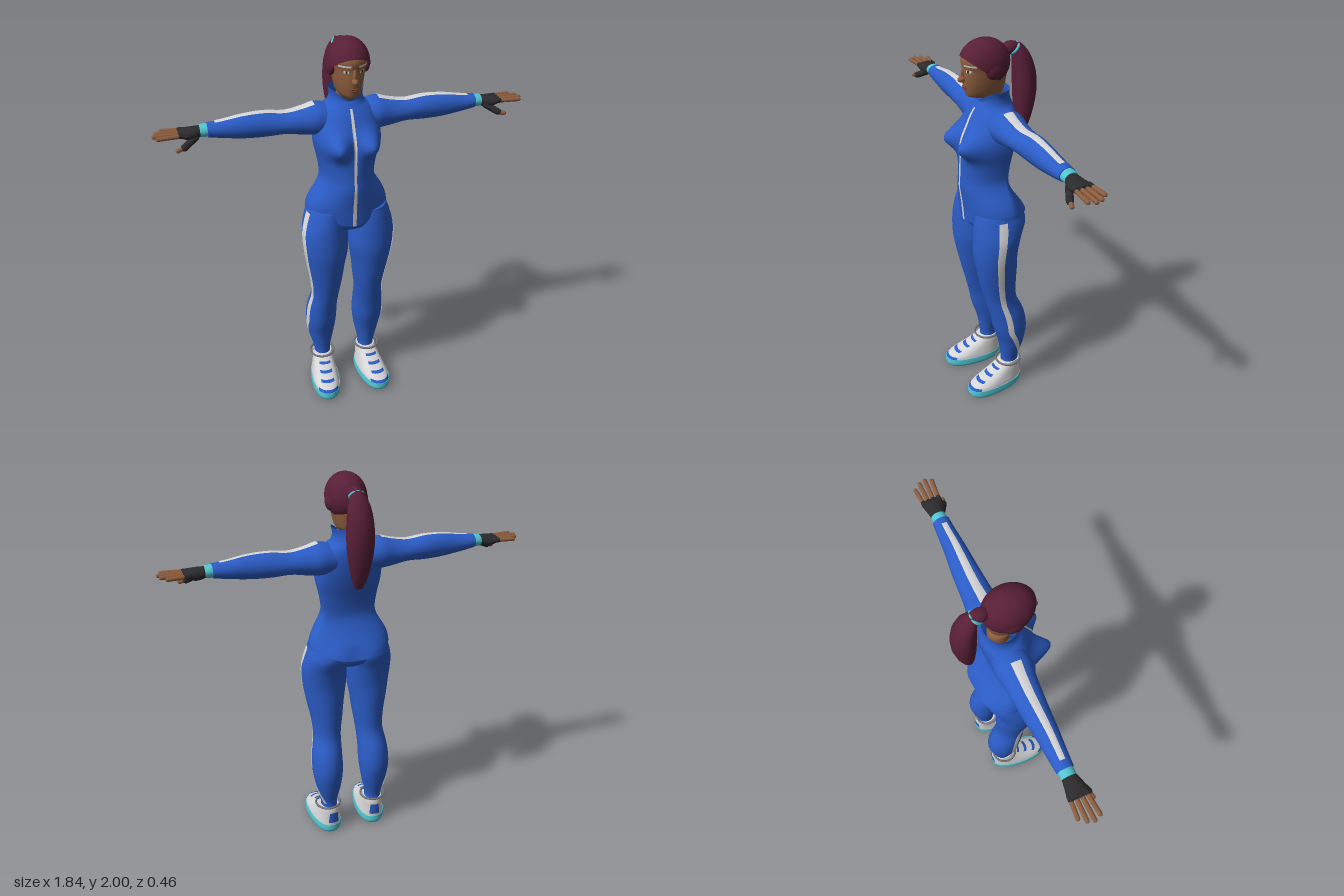
import * as THREE from 'three';

const mat = (name, color, side = THREE.FrontSide) => {
  const m = new THREE.MeshStandardMaterial({ color, side });
  m.name = name;
  return m;
};

// Surface through elliptical sections [y, cx, cz, rx, front depth, back depth]; angle 0 faces +z, PI/2 faces +x
function surface(rows, { power = 1, rule } = {}) {
  const last = rows.length - 1;
  const curve = (v, k) => {
    const i = Math.min(Math.floor(v * last), last - 1), t = v * last - i;
    const p = (n) => rows[Math.max(0, Math.min(last, n))][k];
    const a = p(i - 1), b = p(i), c = p(i + 1), d = p(i + 2);
    return b + 0.5 * t * (c - a + t * (2 * a - 5 * b + 4 * c - d + t * (3 * (b - c) + d - a)));
  };
  const bend = (n) => Math.sign(n) * Math.abs(n) ** power;
  const point = (v, a, lift = 0) => {
    const [y, cx, cz, rx, rf, rb] = [0, 1, 2, 3, 4, 5].map((k) => curve(v, k));
    const c = Math.cos(a), p = new THREE.Vector3(
      cx + (rx + lift) * bend(Math.sin(a)), y, cz + ((c > 0 ? rf : rb) + lift) * bend(c));
    if (rule) rule(p, c);
    return p;
  };
  const find = (y) => {
    let lo = 0, hi = 1;
    for (let i = 0; i < 30; i++) {
      const m = (lo + hi) / 2;
      if (curve(m, 0) < y) lo = m; else hi = m;
    }
    return lo;
  };
  return { point, find, rows };
}

function grid(fn, nu, nv, closed, caps) {
  const pos = [], idx = [], w = closed ? nu : nu + 1;
  for (let i = 0; i <= nv; i++) for (let j = 0; j < w; j++) pos.push(...fn(j / nu, i / nv).toArray());
  for (let i = 0; i < nv; i++) for (let j = 0; j < nu; j++) {
    const k = (j + 1) % w, a = i * w + j, b = i * w + k;
    idx.push(a, b, a + w, b, b + w, a + w);
  }
  if (caps) for (const v of [0, 1]) {
    const start = pos.length / 3, mid = new THREE.Vector3();
    for (let j = 0; j < nu; j++) {
      const p = fn(j / nu, v);
      mid.addScaledVector(p, 1 / nu);
      pos.push(...p.toArray());
    }
    pos.push(...mid.toArray());
    for (let j = 0; j < nu; j++) {
      const a = start + j, b = start + (j + 1) % nu;
      idx.push(...(v ? [a, b, start + nu] : [b, a, start + nu]));
    }
  }
  const g = new THREE.BufferGeometry();
  g.setAttribute('position', new THREE.Float32BufferAttribute(pos, 3));
  g.setIndex(idx);
  g.computeVertexNormals();
  return g;
}

const loft = (s, nu = 36, caps = true) =>
  grid((u, v) => s.point(v, u * Math.PI * 2), nu, (s.rows.length - 1) * 5, true, caps);

// Thin painted plate lying on a surface, between two heights
const patch = (s, y0, y1, angle, half, nv = 4, lift = 0.003) => {
  const v0 = s.find(y0), v1 = s.find(y1);
  return grid((u, t) => {
    const v = v0 + (v1 - v0) * t;
    const a = typeof angle === 'function' ? angle(y0 + (y1 - y0) * t) : angle;
    return s.point(v, a + (2 * u - 1) * half, lift);
  }, 8, nv, false);
};

const ball = (x, y, z, rx, ry, rz) => new THREE.SphereGeometry(1, 28, 18).scale(rx, ry, rz).translate(x, y, z);

function limb(from, to, r) {
  const a = new THREE.Vector3(...from), d = new THREE.Vector3(...to).sub(a), len = d.length();
  const q = new THREE.Quaternion().setFromUnitVectors(new THREE.Vector3(0, 1, 0), d.normalize());
  return new THREE.CapsuleGeometry(r, len, 4, 10).translate(0, len / 2, 0).applyQuaternion(q).translate(...from);
}

export function createModel() {
  const root = new THREE.Group();
  const blue = mat('tracksuit blue', 0x2b5cc6, THREE.DoubleSide), white = mat('trim white', 0xd6d6d8, THREE.DoubleSide);
  const teal = mat('teal', 0x52c6d2), skin = mat('skin', 0x8d5d3e), hair = mat('hair burgundy', 0x581f36);
  const dark = mat('glove black', 0x2b2b2d), grey = mat('ring grey', 0x75777c), lip = mat('lip brown', 0x74402f);

  const add = (name, geo, m) => {
    const mesh = new THREE.Mesh(geo, m);
    mesh.name = name;
    root.add(mesh);
  };
  const both = (name, geo, m) => {
    add('left ' + name, geo, m);
    const g = geo.clone().scale(-1, 1, 1), i = g.index.array;
    for (let k = 0; k < i.length; k += 3) [i[k], i[k + 1]] = [i[k + 1], i[k]];
    add('right ' + name, g, m);
  };

  // Jacket with chest, seat, shaped hem and open collar
  const torso = surface([
    [1.10, 0, 0, .212, .165, .135], [1.16, 0, 0, .208, .172, .11], [1.21, 0, 0, .188, .178, .08],
    [1.27, 0, 0, .152, .185, .05], [1.32, 0, 0, .138, .182, .043], [1.40, 0, 0, .148, .178, .055],
    [1.48, 0, 0, .165, .165, .075], [1.55, 0, 0, .167, .15, .088], [1.62, 0, 0, .155, .125, .094],
    [1.66, 0, 0, .125, .102, .093], [1.685, 0, 0, .092, .086, .088], [1.72, 0, 0, .081, .077, .078],
    [1.755, 0, 0, .088, .08, .076]], {
    rule(p, c) {
      const bump = (x, y, sx, sy) => Math.exp(-(((Math.abs(p.x) - x) / sx) ** 2) - ((p.y - y) / sy) ** 2);
      if (c > 0) p.z += .088 * bump(.088, 1.505, .058, .062) * Math.min(1, c * 3);
      else p.z -= .015 * bump(.09, 1.11, .06, .06) * Math.min(1, -c * 3);
      const hem = Math.max(0, 1 - (p.y - 1.1) / .06), collar = Math.max(0, (p.y - 1.69) / .065);
      p.y += hem * (.03 - (c > 0 ? .06 : .04) * c ** 4);
      if (c > 0) p.y -= collar * .045 * c ** 4;
    },
  });
  add('jacket', loft(torso, 64, false), blue);
  add('zip', patch(torso, 1.10, 1.67, 0, .045, 50), white);

  // Trousers
  add('hips', ball(0, 1.09, .027, .185, .09, .135), blue);
  const leg = surface([
    [.16, .128, -.035, .045, .05, .05], [.2, .13, -.035, .047, .05, .05], [.3, .132, -.04, .07, .07, .07],
    [.4, .133, -.033, .083, .093, .092], [.5, .13, -.015, .08, .095, .095], [.6, .12, .017, .074, .088, .087],
    [.7, .117, .032, .085, .098, .097], [.8, .12, .042, .1, .108, .107], [.9, .12, .05, .115, .115, .115],
    [1.0, .122, .04, .118, .125, .122], [1.08, .115, .025, .108, .135, .138], [1.14, .11, .02, .092, .13, .12]]);
  both('trouser leg', loft(leg), blue);
  const bends = [[.18, 2.5], [.3, 1.65], [.4, 1.25], [.6, 1.37], [1.13, 1.34]];
  both('leg stripe', patch(leg, .19, 1.12, (y) => {
    const i = bends.findIndex((b, n) => n > 0 && y <= b[0]), [a, b] = [bends[i - 1], bends[i]];
    return a[1] + (b[1] - a[1]) * (y - a[0]) / (b[0] - a[0]);
  }, .165, 50), white);

  // Sleeves, built upright and then laid along +x
  const lay = (g) => g.rotateZ(-Math.PI / 2);
  const arm = surface([
    [.08, -1.60, 0, .07, .08, .08], [.15, -1.605, 0, .08, .09, .088], [.22, -1.60, 0, .068, .078, .076],
    [.3, -1.60, 0, .055, .07, .07], [.4, -1.603, 0, .062, .062, .063], [.5, -1.603, .002, .058, .054, .053],
    [.6, -1.602, .002, .043, .046, .046], [.667, -1.605, .002, .034, .041, .041]]);
  both('sleeve', lay(loft(arm)), blue);
  both('sleeve stripe', lay(patch(arm, .16, .63, -Math.PI / 2 + .07, .28, 40)), white);

  // Wristbands, gloves and fingers
  both('wristband', lay(loft(surface([
    [.66, -1.605, .002, .031, .036, .036], [.68, -1.605, .002, .031, .036, .036], [.702, -1.604, .002, .029, .035, .035]]))), teal);
  both('glove', lay(loft(surface([
    [.695, -1.604, .002, .025, .032, .032], [.735, -1.598, .004, .03, .046, .04],
    [.77, -1.6, .003, .024, .052, .046], [.795, -1.604, .002, .014, .05, .046]]))), dark);
  both('glove thumb', limb([.725, 1.585, .03], [.782, 1.553, .06], .017), dark);
  both('thumb tip', limb([.78, 1.553, .059], [.812, 1.545, .069], .011), skin);
  [.875, .9, .91, .895].forEach((tip, i) => {
    const z = -.034 + i * .025;
    both('finger', limb([.78, 1.604, z], [tip, 1.604, z * 1.25], .0105), skin);
    both('glove finger', limb([.775, 1.604, z], [.795, 1.604, z * 1.02], .0125), dark);
  });

  // Head and neck
  const head = surface([
    [1.66, 0, 0, .05, .05, .055], [1.71, 0, .0, .05, .058, .055], [1.732, 0, .03, .045, .098, .07],
    [1.75, 0, .03, .057, .113, .08], [1.79, 0, .03, .068, .123, .09], [1.83, 0, .03, .075, .126, .095],
    [1.87, 0, .035, .08, .12, .1], [1.91, 0, .04, .087, .12, .105], [1.95, 0, .04, .074, .1, .095],
    [1.98, 0, .04, .042, .055, .055]]);
  add('head', loft(head, 40), skin);
  add('nose', ball(0, 1.823, .158, .015, .016, .025), skin);
  add('nose bridge', ball(0, 1.848, .153, .01, .032, .014).rotateX(0), skin);
  add('upper lip', ball(0, 1.784, .148, .022, .005, .009), lip);
  add('lower lip', ball(0, 1.775, .147, .019, .006, .009), lip);
  both('brow', patch(head, 1.889, 1.898, .55, .34), white);
  both('eye', patch(head, 1.861, 1.873, .47, .15), white);
  both('iris', patch(head, 1.862, 1.873, .45, .055, 4, .005), dark);

  // Swept-back hair, ponytail and hair tie
  add('hair', new THREE.SphereGeometry(1, 40, 28, 0, Math.PI * 2, 0, 1.87)
    .rotateX(-.68).scale(.1, .115, .125).translate(0, 1.885, .045), hair);
  both('side hair', ball(.083, 1.868, .035, .022, .042, .045), hair);
  add('hair knot', ball(0, 1.932, -.09, .033, .032, .045), hair);
  add('ponytail', loft(surface([
    [1.49, 0, -.15, .02, .018, .018], [1.53, 0, -.158, .035, .03, .03], [1.6, 0, -.165, .052, .045, .045],
    [1.7, 0, -.171, .066, .057, .056], [1.8, 0, -.166, .066, .056, .056], [1.88, 0, -.15, .055, .044, .046],
    [1.93, 0, -.13, .036, .03, .034], [1.955, 0, -.118, .018, .016, .018]]), 14), hair);
  add('hair tie', new THREE.TorusGeometry(.032, .007, 10, 28).rotateX(-.82).translate(0, 1.928, -.106), teal);

  // Trainers, turned slightly outward
  const place = (g) => g.rotateY(.1).translate(.131, 0, 0);
  const upper = surface([
    [.03, 0, .06, .075, .165, .16], [.06, 0, .06, .072, .155, .16], [.085, 0, .04, .066, .125, .14],
    [.11, 0, .01, .06, .095, .11], [.14, 0, -.02, .054, .07, .08], [.165, 0, -.03, .05, .05, .065]], { power: .85 });
  both('shoe upper', place(loft(upper)), white);
  both('shoe sole', place(loft(surface([
    [.004, 0, .06, .073, .16, .155], [.02, 0, .06, .079, .17, .162], [.05, 0, .06, .077, .168, .161]], { power: .85 }))), teal);
  for (const y of [.082, .105, .13]) both('lace', place(patch(upper, y, y + .008, 0, .5)), blue);
  both('toe trim', place(patch(upper, .05, .064, 0, .75)), blue);
  both('heel trim', place(patch(upper, .07, .135, Math.PI, .35)), blue);
  both('ankle ring', new THREE.TorusGeometry(.067, .006, 8, 36).rotateX(Math.PI / 2).translate(.132, .166, -.025), grey);

  return root;
}
